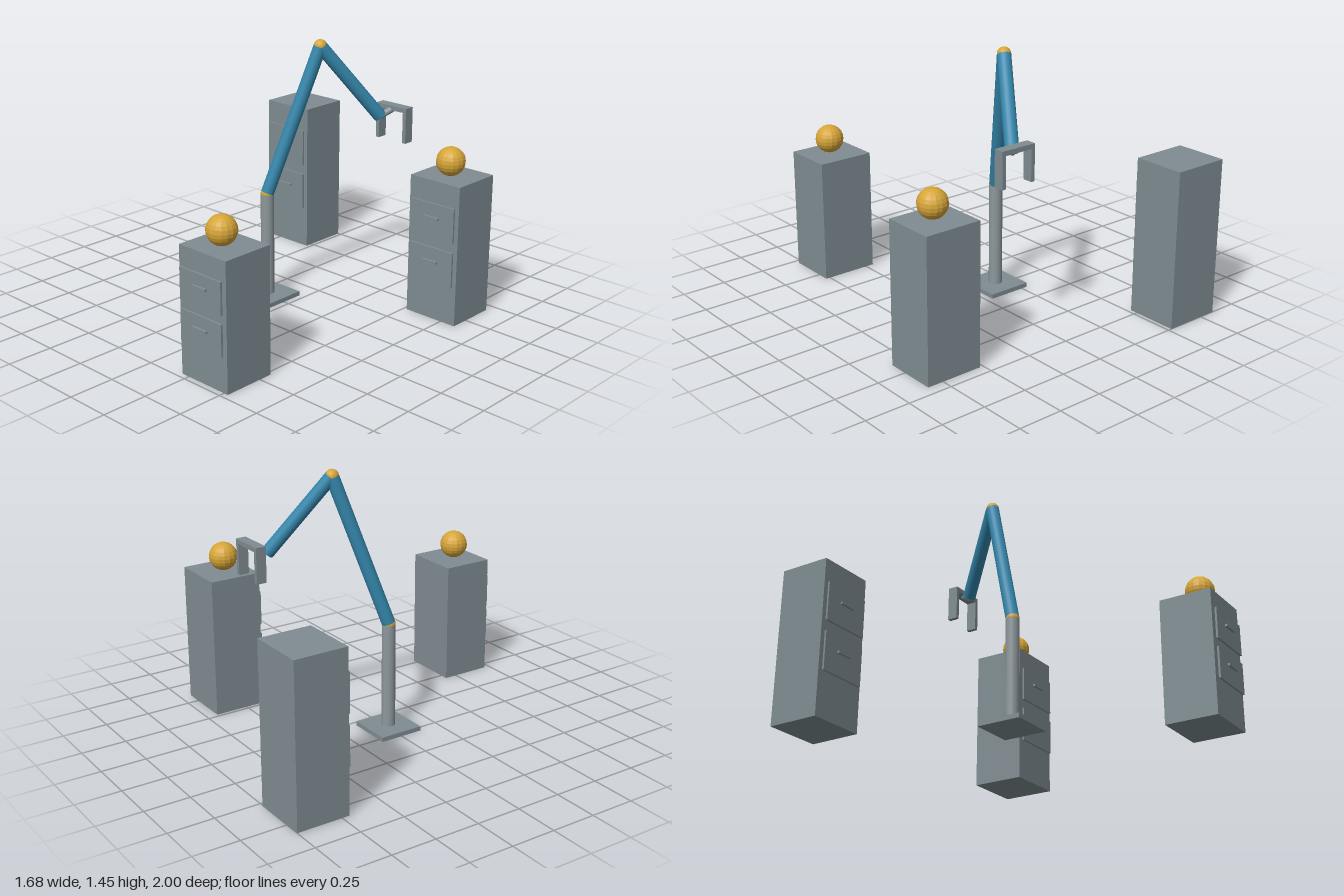
import * as THREE from 'three';

const paint = (name, color) => {
  const m = new THREE.MeshStandardMaterial({ color });
  m.name = name;
  return m;
};

export function createModel() {
  const model = new THREE.Group();
  model.name = 'robotArmWorkcell';

  const cabinetGrey = paint('cabinet grey', 0x7f8c92);
  const metal = paint('metal grey', 0x8d979b);
  const blue = paint('arm blue', 0x3486ab);
  const gold = paint('gold', 0xd6a538);
  const goldFlat = gold;

  const add = (parent, name, geometry, material, x, y, z) => {
    const mesh = new THREE.Mesh(geometry, material);
    mesh.name = name;
    mesh.position.set(x, y, z);
    parent.add(mesh);
    return mesh;
  };
  const box = (parent, name, material, w, h, d, x, y, z) =>
    add(parent, name, new THREE.BoxGeometry(w, h, d), material, x, y, z);

  // Cylinder between two points
  const link = (name, material, a, b, radius) => {
    const dir = b.clone().sub(a);
    const mid = a.clone().add(b).multiplyScalar(0.5);
    const mesh = add(model, name, new THREE.CylinderGeometry(radius, radius, dir.length(), 24),
      material, mid.x, mid.y, mid.z);
    mesh.quaternion.setFromUnitVectors(new THREE.Vector3(0, 1, 0), dir.normalize());
  };

  // Faceted ball
  const ballGeometry = new THREE.SphereGeometry(0.079, 16, 12).toNonIndexed();
  ballGeometry.computeVertexNormals();

  // Cabinets: two drawers with handles on the front, optional ball on top
  const cabinet = (name, x, backZ, height, hasBall) => {
    const g = new THREE.Group();
    g.name = name;
    g.position.set(x, 0, backZ);
    model.add(g);
    box(g, 'cabinetBody', cabinetGrey, 0.322, height, 0.292, 0, height / 2, 0.146);
    for (const level of [0.408, 0.724]) {
      box(g, 'drawer', cabinetGrey, 0.284, height * 0.248, 0.011, 0, height * level, 0.305);
      box(g, 'drawerHandle', cabinetGrey, 0.095, 0.013, 0.013, 0, height * (level + 0.024), 0.317);
    }
    if (hasBall) add(g, 'ball', ballGeometry, goldFlat, 0, height + 0.079, 0.161);
  };
  cabinet('tallCabinet', -0.682, -1, 0.87, false);
  cabinet('middleCabinet', 0.68, -0.688, 0.78, true);
  cabinet('shortCabinet', 0.364, 0.677, 0.687, true);

  // Arm: base, post, two links and their joints
  const shoulder = new THREE.Vector3(-0.16, 0.61, 0);
  const elbow = new THREE.Vector3(0, 1.417, -0.246);
  const wrist = new THREE.Vector3(0.187, 1.008, -0.53);
  const palm = new THREE.Vector3(0.23, 1.05, -0.6);
  box(model, 'basePlate', cabinetGrey, 0.25, 0.025, 0.25, -0.16, 0.0125, 0);
  link('post', metal, new THREE.Vector3(-0.16, 0.025, 0), new THREE.Vector3(-0.16, 0.606, 0), 0.037);
  link('upperArm', blue, shoulder, elbow, 0.0365);
  link('forearm', blue, elbow, wrist, 0.0365);
  link('wrist', metal, wrist, palm, 0.018);
  for (const [name, p] of [['shoulderJoint', shoulder], ['elbowJoint', elbow]]) {
    add(model, name, new THREE.SphereGeometry(0.037, 24, 16), gold, p.x, p.y, p.z);
  }

  // Gripper: palm bar and two downward fingers
  box(model, 'gripperPalm', cabinetGrey, 0.208, 0.026, 0.058, 0.23, 1.054, -0.601);
  for (const side of [-1, 1]) {
    box(model, 'gripperFinger', cabinetGrey, 0.022, 0.172, 0.058, 0.23 + side * 0.093, 0.956, -0.601);
  }

  return model;
}
